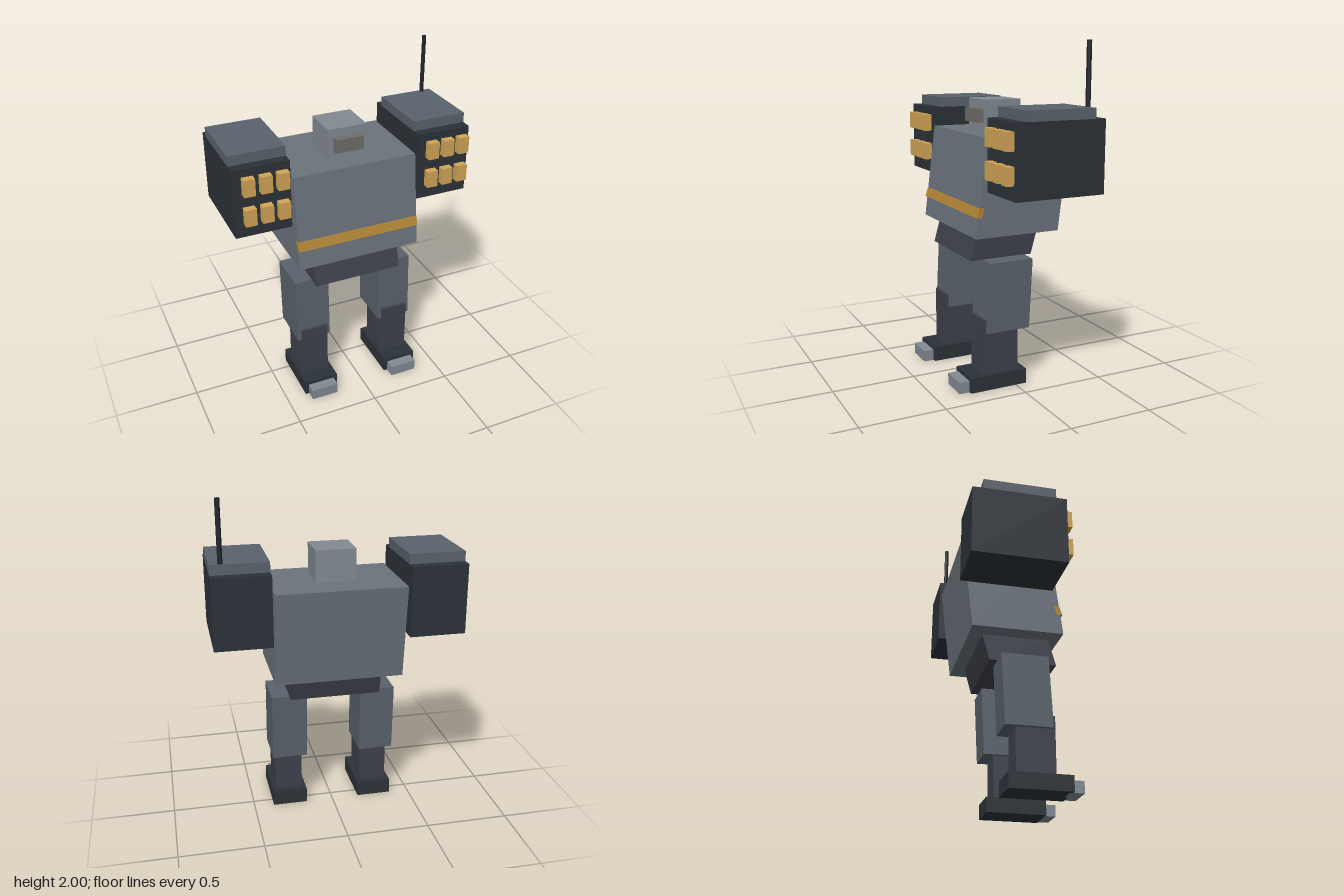
import * as THREE from 'three';

const material = (color) => new THREE.MeshStandardMaterial({ color, flatShading: true });
const paint = {
  hull: material(0x6b737c), limb: material(0x59626b), joint: material(0x3d414b),
  dark: material(0x2b3238), light: material(0x828a92), stripe: material(0xb28636),
  rocket: material(0xd2a556), visor: material(0x706e6a), rod: material(0x22262b),
};

// Box from [min, max] ranges; lean slides the top edge along z.
function block(name, mat, [x0, x1], [y0, y1], [z0, z1], lean = 0) {
  const geometry = new THREE.BoxGeometry(x1 - x0, y1 - y0, z1 - z0);
  geometry.translate((x0 + x1) / 2, (y0 + y1) / 2, (z0 + z1) / 2);
  const p = geometry.attributes.position;
  for (let i = 0; i < p.count; i++) {
    p.setZ(i, p.getZ(i) + lean * (p.getY(i) - y0) / (y1 - y0));
  }
  geometry.computeVertexNormals();
  const mesh = new THREE.Mesh(geometry, mat);
  mesh.name = name;
  return mesh;
}

function createLeg(side) {
  const leg = new THREE.Group();
  leg.name = side > 0 ? 'leftLeg' : 'rightLeg';
  leg.position.x = side * 0.273;
  leg.add(
    block('thigh', paint.limb, [-0.106, 0.106], [0.345, 0.76], [-0.085, 0.185], -0.02),
    block('shin', paint.joint, [-0.083, 0.083], [0.09, 0.42], [-0.022, 0.2]),
    block('foot', paint.dark, [-0.106, 0.106], [0, 0.09], [-0.068, 0.29]),
    block('toe', paint.light, [-0.083, 0.083], [0, 0.068], [0.27, 0.353]),
  );
  return leg;
}

function createPod(side) {
  const pod = new THREE.Group();
  pod.name = side > 0 ? 'leftRocketPod' : 'rightRocketPod';
  pod.position.x = side * 0.558;
  pod.add(
    block('podCase', paint.dark, [-0.165, 0.165], [1.175, 1.588], [-0.35, 0.193]),
    block('podLid', paint.limb, [-0.165, 0.165], [1.588, 1.647], [-0.288, 0.131]),
  );
  // Two rows of three rockets, offset the same way on both pods
  for (const y of [1.258, 1.439]) {
    for (const x of [-0.082, 0.016, 0.114]) {
      pod.add(block('rocket', paint.rocket, [x - 0.033, x + 0.033], [y, y + 0.102], [0.17, 0.237]));
    }
  }
  return pod;
}

export function createModel() {
  const model = new THREE.Group();
  model.name = 'walkingRobot';

  // Body leaning back toward the top
  model.add(
    block('pelvis', paint.joint, [-0.272, 0.272], [0.758, 0.911], [-0.15, 0.24], -0.043),
    block('torso', paint.hull, [-0.378, 0.378], [0.911, 1.473], [-0.27, 0.256], -0.07),
    block('chestStripe', paint.stripe, [-0.379, 0.379], [1.03, 1.086], [0.22, 0.253], -0.017),
    block('head', paint.light, [-0.119, 0.119], [1.473, 1.662], [-0.156, 0.068]),
    block('visor', paint.visor, [-0.085, 0.085], [1.528, 1.61], [0.05, 0.11]),
  );

  for (const side of [-1, 1]) model.add(createLeg(side), createPod(side));

  // Antenna on the left pod
  const antenna = new THREE.Mesh(new THREE.CylinderGeometry(0.014, 0.014, 0.36, 6), paint.rod);
  antenna.name = 'antenna';
  antenna.rotation.y = Math.PI / 2;
  antenna.position.set(0.661, 1.82, -0.274);
  model.add(antenna);

  return model;
}
